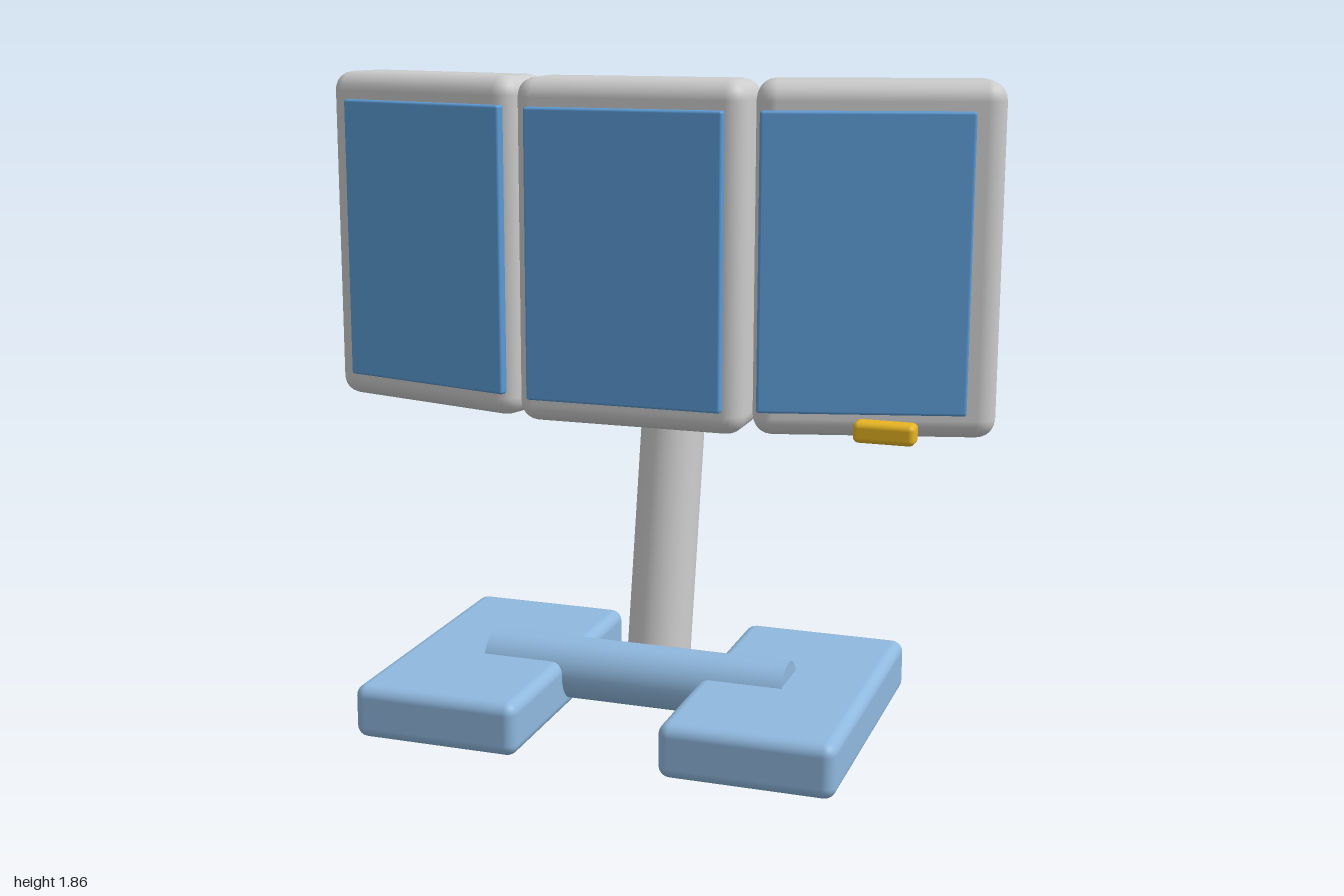
import * as THREE from 'three';
import { RoundedBoxGeometry } from 'three/addons/geometries/RoundedBoxGeometry.js';

const grey = new THREE.MeshStandardMaterial({ color: 0xcccccc });
const paleBlue = new THREE.MeshStandardMaterial({ color: 0x8fb8de });
const screenBlue = new THREE.MeshStandardMaterial({ color: 0x5b9bd5 });
const yellow = new THREE.MeshStandardMaterial({ color: 0xe6b422 });

export function createModel() {
  const model = new THREE.Group();

  // Rounded block centred at (x, y, z), turned about the vertical axis
  function block(name, [w, h, d], radius, [x, y, z], material, turn = 0) {
    const mesh = new THREE.Mesh(new RoundedBoxGeometry(w, h, d, 3, radius), material);
    mesh.name = name;
    mesh.position.set(x, y, z);
    mesh.rotation.y = turn;
    model.add(mesh);
  }

  // Capped round bar from one point to another
  function bar(name, from, to, radius, material) {
    const a = new THREE.Vector3(...from);
    const b = new THREE.Vector3(...to);
    const mesh = new THREE.Mesh(new THREE.CylinderGeometry(radius, radius, a.distanceTo(b), 24), material);
    mesh.name = name;
    mesh.position.copy(a).lerp(b, 0.5);
    mesh.quaternion.setFromUnitVectors(new THREE.Vector3(0, 1, 0), b.sub(a).normalize());
    model.add(mesh);
  }

  // Three panels with screens; the outer two sweep backwards
  const panelSize = [0.672, 0.98, 0.225];
  const screenSize = [0.575, 0.825, 0.03];
  block('centrePanel', panelSize, 0.055, [0, 1.372, -0.005], grey);
  block('centreScreen', screenSize, 0.008, [0, 1.37, 0.135], screenBlue);
  for (const [side, s] of [['left', 1], ['right', -1]]) {
    const turn = s * 0.257;
    block(side + 'Panel', panelSize, 0.055, [s * 0.658, 1.372, -0.114], grey, turn);
    block(side + 'Screen', screenSize, 0.008, [s * 0.654, 1.37, 0.021], screenBlue, turn);
    block(side + 'Foot', [0.496, 0.157, 0.92], 0.034, [s * 0.455, 0.0785, 0], paleBlue);
  }

  // Small button block under the left screen
  block('button', [0.17, 0.058, 0.066], 0.016, [0.74, 0.929, 0.1], yellow);

  // Crossbar joining the feet, leaning post and upper arm
  bar('crossbar', [-0.458, 0.117, 0], [0.458, 0.117, 0], 0.092, paleBlue);
  bar('post', [0, 0.13, -0.194], [0, 0.908, -0.342], 0.096, grey);
  bar('upperArm', [0, 0.918, -0.34], [0, 1.103, -0.066], 0.096, grey);

  return model;
}
